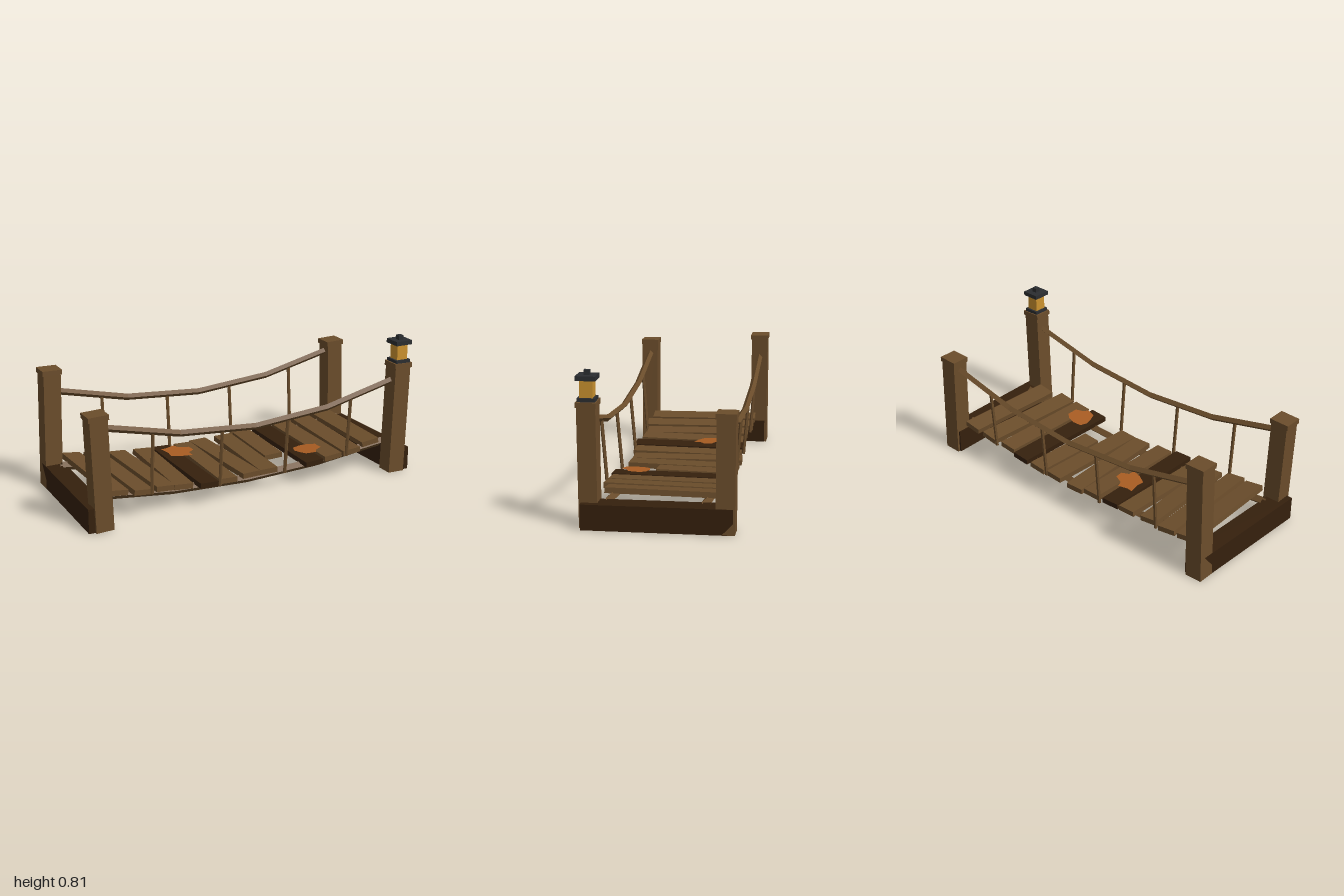
import * as THREE from 'three';

export function createModel() {
  const model = new THREE.Group();
  model.name = 'ropeBridge';

  const material = (name, color) => {
    const m = new THREE.MeshStandardMaterial({ color, flatShading: true, side: THREE.DoubleSide });
    m.name = name;
    return m;
  };
  const wood = material('wood', 0x6b4d2b);
  const darkWood = material('darkWood', 0x35200d);
  const iron = material('iron', 0x2b2d30);
  const glow = material('lampGlow', 0xcb922f);
  const leafColor = material('autumnLeaf', 0xa85c22);

  const add = (name, geometry, mat, x = 0, y = 0, z = 0, parent = model) => {
    const mesh = new THREE.Mesh(geometry, mat);
    mesh.name = name;
    mesh.position.set(x, y, z);
    parent.add(mesh);
    return mesh;
  };
  const box = (w, h, d) => new THREE.BoxGeometry(w, h, d);

  // Sag of the deck ropes and hand rails
  const deckY = x => 0.075 + 0.083 * x * x;
  const railY = x => 0.415 + 0.172 * x * x;

  // End beams, slightly splayed
  for (const s of [-1, 1]) {
    add('endBeam', box(0.11, 0.135, 0.77), darkWood, s * 0.934, 0.0675, 0).rotation.y = s * 0.028;
  }

  // Leaning corner posts with caps: bottom x, top x, z, height
  const posts = [
    [-0.912, -0.932, 0.348, 0.637],
    [0.910, 0.928, 0.348, 0.656],
    [-0.932, -0.917, -0.348, 0.687],
    [0.930, 0.914, -0.348, 0.617],
  ];
  for (const [x0, x1, z, h] of posts) {
    const tilt = Math.atan2(x0 - x1, h);
    add('post', box(0.1, h - 0.015, 0.097), wood, (x0 + x1) / 2, (h - 0.015) / 2, z).rotation.z = tilt;
    add('postCap', box(0.114, 0.028, 0.105), wood, x1, h - 0.015, z).rotation.z = tilt;
  }

  // Four-sided ropes following a sag curve
  const rope = (name, yAt, end, z, radius) => {
    const points = [-1, -0.5, 0, 0.5, 1].map(t => new THREE.Vector3(t * end, yAt(t * end), z));
    add(name, new THREE.TubeGeometry(new THREE.CatmullRomCurve3(points), 4, radius, 4), wood);
  };
  for (const s of [-1, 1]) {
    rope('handRail', railY, 0.9, s * 0.347, 0.019);
    rope('deckRope', deckY, 0.905, s * 0.245, 0.025);
  }

  // Balusters leaning from the deck edge out to the rail
  const up = new THREE.Vector3(0, 1, 0);
  for (const s of [-1, 1]) {
    for (const x of [-0.612, -0.204, 0.204, 0.612]) {
      const a = new THREE.Vector3(x, deckY(x) + 0.02, s * 0.32);
      const b = new THREE.Vector3(x, railY(x), s * 0.347);
      const dir = b.clone().sub(a);
      const mid = a.clone().add(b).multiplyScalar(0.5);
      const bar = add('baluster', new THREE.CylinderGeometry(0.01, 0.01, dir.length(), 5), wood, mid.x, mid.y, mid.z);
      bar.quaternion.setFromUnitVectors(up, dir.normalize());
    }
  }

  // Deck planks: back x, front x, back z, front z, dark?
  const planks = [
    [-0.82, -0.796, -0.33, 0.31], [-0.69, -0.66, -0.33, 0.325], [-0.55, -0.52, -0.31, 0.30],
    [-0.39, -0.415, -0.31, 0.305], [-0.272, -0.272, -0.31, 0.33, 1], [-0.13, -0.147, -0.31, 0.31],
    [-0.02, 0.01, -0.33, 0.29], [0.147, 0.12, -0.325, 0.29], [0.273, 0.252, -0.33, 0.11],
    [0.408, 0.395, -0.33, 0.33, 1], [0.535, 0.525, -0.31, 0.32], [0.677, 0.65, -0.325, 0.32],
    [0.815, 0.80, -0.33, 0.285],
  ];
  for (const [x0, x1, z0, z1, dark] of planks) {
    const x = (x0 + x1) / 2;
    const plank = add('plank', box(0.109, 0.03, z1 - z0), dark ? darkWood : wood, x, deckY(x) + 0.035, (z0 + z1) / 2);
    plank.rotation.order = 'ZYX';
    plank.rotation.y = Math.atan2(x1 - x0, z1 - z0);
    plank.rotation.z = Math.atan(0.166 * x);
  }

  // Fallen leaves: ragged flat outlines in x, z
  const leaf = (x, y, z, rx, rz, outline) => {
    const shape = new THREE.Shape(outline.map(([px, pz]) => new THREE.Vector2(px, -pz)));
    const mesh = add('leaf', new THREE.ShapeGeometry(shape).rotateX(-Math.PI / 2), leafColor, x, y, z);
    mesh.rotation.set(rx, 0, rz);
  };
  leaf(-0.242, 0.16, -0.112, 0.04, 0.04, [
    [-0.08, -0.075], [-0.05, -0.072], [0.005, -0.09], [0.02, -0.053], [0.075, -0.027], [0.08, 0.02],
    [0.042, 0.043], [0.042, 0.085], [-0.016, 0.07], [-0.07, 0.037], [-0.065, -0.005]]);
  leaf(0.424, 0.163, 0.204, -0.04, 0.09, [
    [-0.058, -0.07], [-0.01, -0.078], [0.04, -0.065], [0.072, -0.038], [0.07, 0.026],
    [0.028, 0.045], [0.008, 0.075], [-0.046, 0.058], [-0.062, 0.017], [-0.074, -0.027]]);

  // Lantern on the front left post
  const lantern = new THREE.Group();
  lantern.name = 'lantern';
  lantern.position.set(0.928, 0, 0.348);
  model.add(lantern);
  add('lanternBase', box(0.092, 0.02, 0.092), iron, 0, 0.663, 0, lantern);
  add('lanternGlass', box(0.068, 0.09, 0.068), glow, 0, 0.717, 0, lantern);
  add('lanternRoof', box(0.102, 0.024, 0.102), iron, 0, 0.773, 0, lantern);
  add('lanternKnob', box(0.03, 0.026, 0.03), iron, 0, 0.797, 0, lantern);

  return model;
}
